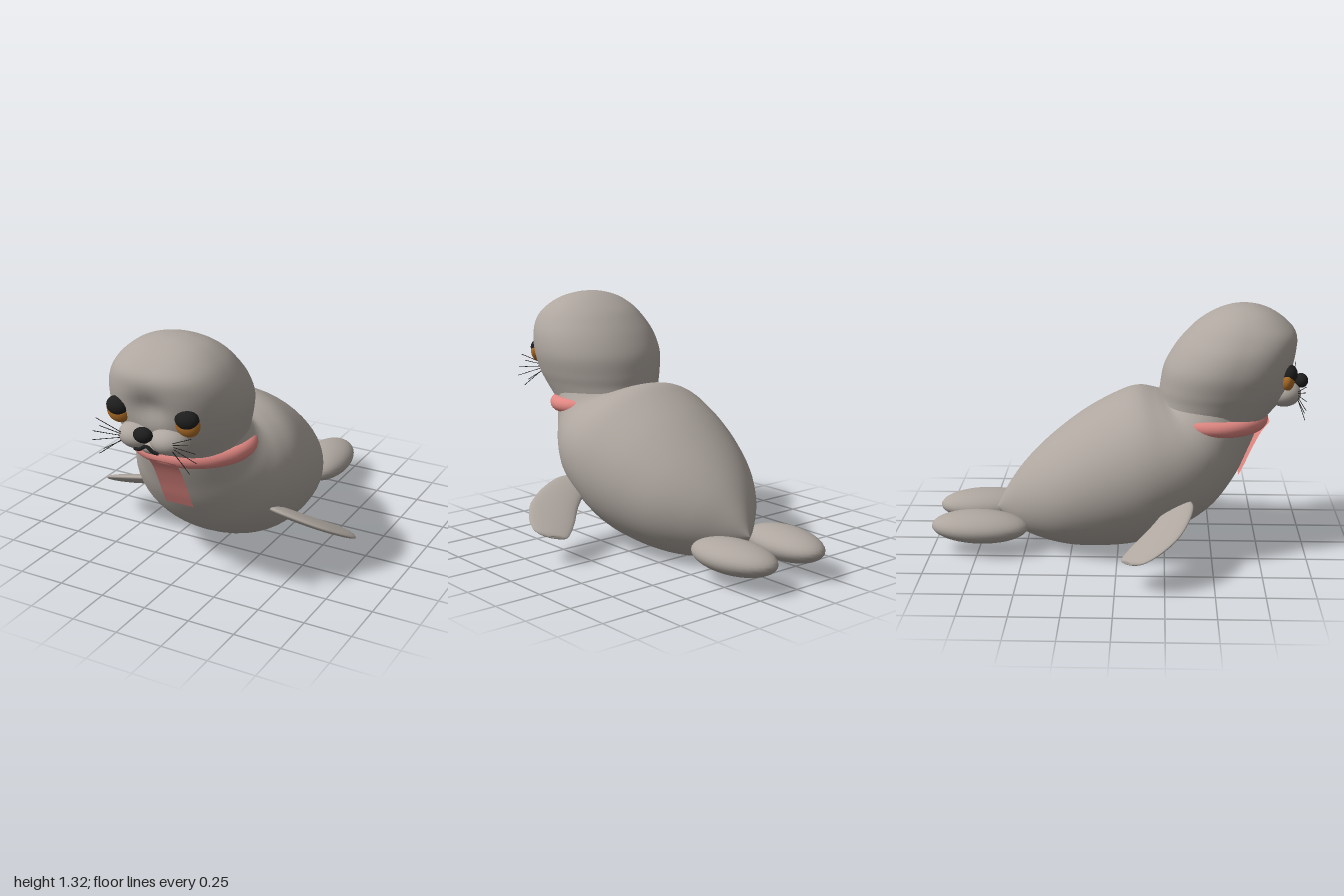
import * as THREE from 'three';

const mat = (name, color) => {
  const m = new THREE.MeshStandardMaterial({ color });
  m.name = name;
  return m;
};
const V = (x, y, z) => new THREE.Vector3(x, y, z);

// Smooth closed skin through rings of [centre, half axis u, half axis v];
// power > 2 squares off the half of each ring that lies towards +v.
function loft(rings, steps, sides, power = 2) {
  const curves = [0, 1, 2].map(k =>
    new THREE.CatmullRomCurve3(rings.map(r => r[k]), false, 'catmullrom', 0.5));
  const pos = [], idx = [];
  for (let i = 0; i <= steps; i++) {
    const [c, u, v] = curves.map(q => q.getPoint(i / steps));
    for (let j = 0; j < sides; j++) {
      const a = j / sides * Math.PI * 2;
      const e = 2 / (Math.sin(a) > 0 ? power : 2);
      const f = s => Math.sign(s) * Math.pow(Math.abs(s), e);
      const p = c.clone().addScaledVector(u, f(Math.cos(a))).addScaledVector(v, f(Math.sin(a)));
      pos.push(p.x, p.y, p.z);
      if (i < steps) {
        const k = (j + 1) % sides, A = i * sides + j, B = i * sides + k;
        idx.push(A, B, A + sides, B, B + sides, A + sides);
      }
    }
  }
  // Turn the faces outwards
  const P = i => V(pos[3 * i], pos[3 * i + 1], pos[3 * i + 2]);
  let volume = 0;
  for (let i = 0; i < idx.length; i += 3) volume += P(idx[i]).dot(P(idx[i + 1]).cross(P(idx[i + 2])));
  if (volume < 0) idx.reverse();
  const g = new THREE.BufferGeometry();
  g.setAttribute('position', new THREE.Float32BufferAttribute(pos, 3));
  g.setIndex(idx);
  g.computeVertexNormals();
  return g;
}

export function createModel() {
  const fur = mat('grey fur', 0xaea69f);
  const black = mat('black', 0x1e1e1e);
  const amber = mat('amber', 0xb06f28);
  const pink = mat('pink cloth', 0xe08782);
  const pinkFlat = mat('pink cloth strip', 0xe08782);
  pinkFlat.side = THREE.DoubleSide;

  const model = new THREE.Group();
  model.name = 'seal';
  const add = (name, geometry, material) => {
    const m = new THREE.Mesh(geometry, material);
    m.name = name;
    model.add(m);
    return m;
  };
  const ball = (name, material, p, r) => {
    const m = add(name, new THREE.SphereGeometry(1, 32, 20), material);
    m.position.set(...p);
    m.scale.set(...r);
    return m;
  };

  // Body: back z, back y, belly z, belly y, half width, from tail to neck
  const body = [
    [-0.665, 0.19, -0.665, 0.19, 0],
    [-0.60, 0.32, -0.56, 0.09, 0.11],
    [-0.50, 0.46, -0.42, 0.035, 0.24],
    [-0.36, 0.60, -0.25, 0.006, 0.35],
    [-0.18, 0.74, -0.05, 0.008, 0.42],
    [0.00, 0.84, 0.15, 0.04, 0.455],
    [0.10, 0.87, 0.33, 0.12, 0.455],
    [0.19, 0.855, 0.50, 0.24, 0.425],
    [0.24, 0.84, 0.62, 0.40, 0.375],
    [0.25, 0.84, 0.69, 0.55, 0.33],
    [0.26, 0.85, 0.74, 0.68, 0.30],
    [0.28, 0.87, 0.76, 0.78, 0.28],
  ].map(([tz, ty, bz, by, w]) =>
    [V(0, (ty + by) / 2, (tz + bz) / 2), V(w, 0, 0), V(0, (ty - by) / 2, (tz - bz) / 2)]);
  add('body', loft(body, 66, 56), fur);

  // Head: height, back z, front z, half width
  const head = [
    [0.70, 0.25, 0.74, 0.26],
    [0.78, 0.21, 0.815, 0.285],
    [0.84, 0.215, 0.86, 0.305],
    [0.90, 0.22, 0.89, 0.325],
    [1.00, 0.24, 0.915, 0.345],
    [1.10, 0.295, 0.93, 0.333],
    [1.18, 0.36, 0.925, 0.295],
    [1.24, 0.425, 0.875, 0.245],
    [1.29, 0.51, 0.80, 0.172],
    [1.318, 0.59, 0.72, 0.08],
    [1.325, 0.655, 0.655, 0],
  ].map(([y, b, f, w]) => [V(0, y, (b + f) / 2), V(w, 0, 0), V(0, 0, (f - b) / 2)]);
  const headGeo = loft(head, 60, 64, 2.4);
  // Shallow dip over the bridge of the nose
  const hp = headGeo.attributes.position;
  for (let i = 0; i < hp.count; i++) {
    const x = hp.getX(i), y = hp.getY(i), z = hp.getZ(i);
    if (z > 0.7) hp.setZ(i, z - 0.035 * Math.exp(-((x / 0.09) ** 2) - ((y - 1.03) / 0.07) ** 2));
  }
  headGeo.computeVertexNormals();
  add('head', headGeo, fur);

  // Nose, chin and mouth
  ball('nose', black, [0, 0.917, 0.963], [0.05, 0.038, 0.037]);
  ball('chin', fur, [0, 0.83, 0.855], [0.085, 0.045, 0.075]);
  const lip = new THREE.CatmullRomCurve3([
    V(-0.068, 0.822, 0.932), V(-0.04, 0.826, 0.937), V(0, 0.848, 0.938),
    V(0.04, 0.826, 0.937), V(0.068, 0.822, 0.932)]);
  add('mouth', new THREE.TubeGeometry(lip, 24, 0.009, 8), black);

  // Front flipper outline: leading x, z, trailing x, z, half thickness
  const flipper = [
    [0.33, 0.34, 0.33, 0.30, 0.005],
    [0.35, 0.375, 0.35, 0.25, 0.022],
    [0.43, 0.395, 0.42, 0.20, 0.027],
    [0.55, 0.37, 0.47, 0.16, 0.027],
    [0.66, 0.315, 0.53, 0.10, 0.024],
    [0.73, 0.23, 0.585, 0.055, 0.02],
    [0.75, 0.15, 0.63, 0.03, 0.015],
    [0.715, 0.09, 0.665, 0.05, 0.008],
    [0.69, 0.07, 0.69, 0.07, 0],
  ];
  const slope = (x, z) => V(x, 0.246 - 0.183 * x + 0.478 * z, z);
  const whiskers = [[0.265, 0.952], [0.245, 0.915], [0.285, 0.88], [0.29, 0.832], [0.25, 0.77], [0.225, 0.80]];

  for (const s of [1, -1]) {
    const side = s > 0 ? 'left' : 'right';
    ball(side + 'Muzzle', fur, [s * 0.087, 0.87, 0.865], [0.1, 0.068, 0.09]);
    ball(side + 'EyeIris', amber, [s * 0.19, 0.975, 0.873], [0.066, 0.062, 0.036]);
    ball(side + 'EyePupil', black, [s * 0.19, 1.0, 0.878], [0.062, 0.049, 0.044]);

    const rings = flipper.map(([lx, lz, tx, tz, h]) => {
      const a = slope(lx, lz), b = slope(tx, tz);
      a.x *= s;
      b.x *= s;
      return [a.clone().add(b).multiplyScalar(0.5), a.clone().sub(b).multiplyScalar(0.5), V(0, h, 0)];
    });
    add(side + 'FrontFlipper', loft(rings, 40, 28), fur);

    const hind = ball(side + 'HindFlipper', fur, [s * 0.178, 0.143, -0.739], [0.142, 0.083, 0.261]);
    hind.rotation.y = s * 0.08;

    // Whiskers fan out from the muzzle
    whiskers.forEach(([x, y], i) => {
      const line = new THREE.LineCurve3(V(s * 0.13, 0.885 - 0.006 * i, 0.93), V(s * x, y, 0.962));
      add(side + 'Whisker' + (i + 1), new THREE.TubeGeometry(line, 1, 0.0018, 5), black);
    });
  }

  // Scarf: ring round the neck and a strip hanging over the chest
  const ring = add('scarfRing', new THREE.TorusGeometry(0.29, 0.045, 20, 64).rotateX(Math.PI / 2), pink);
  ring.scale.set(1, 0.95, 0.88);
  ring.position.set(0, 0.727, 0.5);
  ring.rotation.x = 0.03;

  const drape = new THREE.CatmullRomCurve3([
    V(0, 0.712, 0.797), V(0, 0.66, 0.757), V(0, 0.55, 0.702), V(0, 0.48, 0.672), V(0, 0.415, 0.641)]);
  const strip = new THREE.PlaneGeometry(0.16, 1, 1, 16);
  const sp = strip.attributes.position;
  for (let i = 0; i < sp.count; i++) {
    const p = drape.getPoint(0.5 - sp.getY(i));
    sp.setXYZ(i, sp.getX(i) - 0.005, p.y, p.z);
  }
  strip.computeVertexNormals();
  add('scarfStrip', strip, pinkFlat);

  return model;
}
